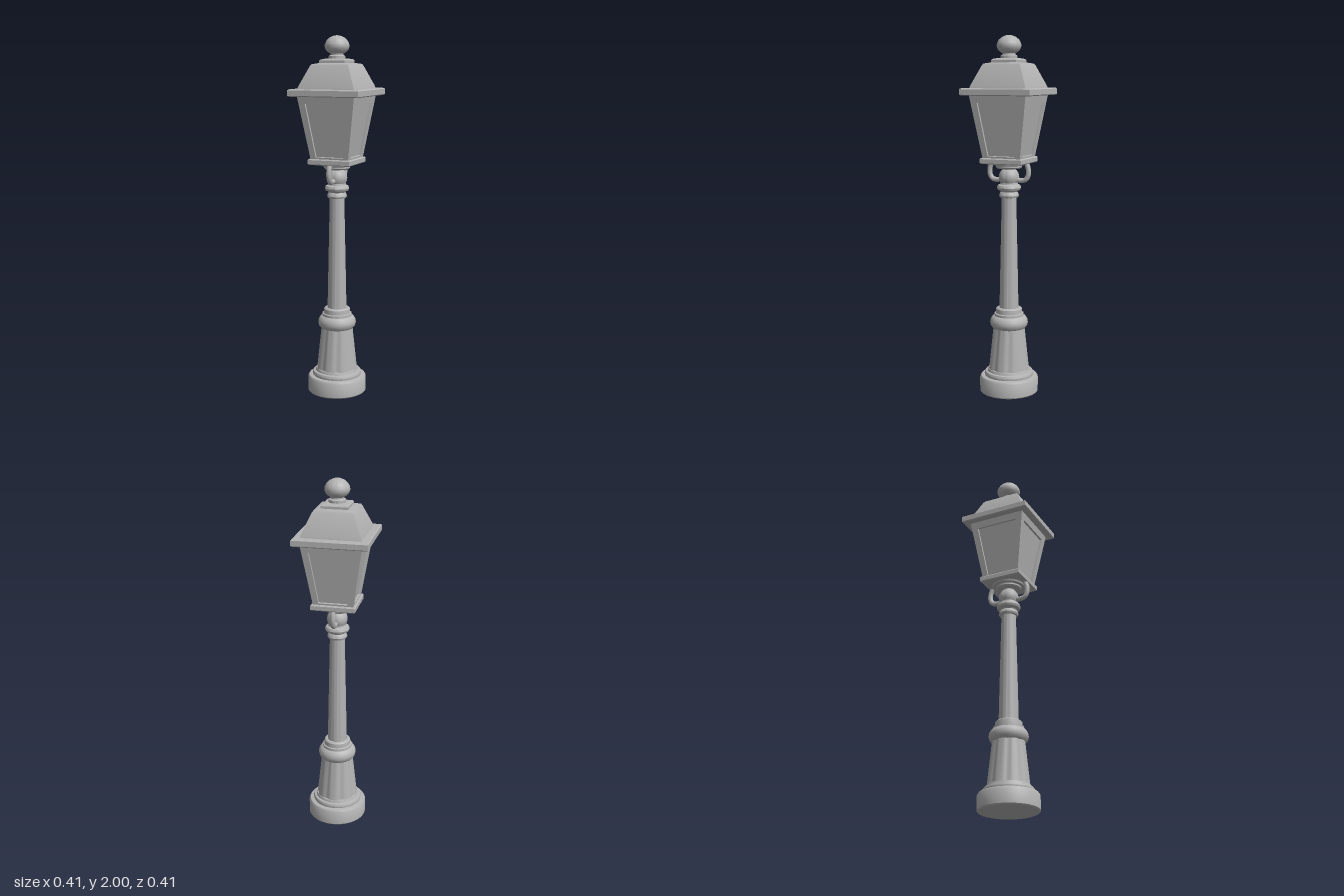
import * as THREE from 'three';
import { toCreasedNormals } from 'three/addons/utils/BufferGeometryUtils.js';

const iron = new THREE.MeshStandardMaterial({ color: 0xb4b4b4 });
iron.name = 'grey iron';

export function createModel() {
  const model = new THREE.Group();
  model.name = 'streetLamp';

  const add = (name, geometry, parent = model) => {
    const mesh = new THREE.Mesh(geometry, iron);
    mesh.name = name;
    parent.add(mesh);
    return mesh;
  };
  const points = (list) => list.map(([r, y]) => new THREE.Vector2(r, y));
  const turned = (list, sides = 40) =>
    toCreasedNormals(new THREE.LatheGeometry(points(list), sides), 0.6);
  // Square section: the profile gives half widths
  const square = (list) =>
    toCreasedNormals(new THREE.LatheGeometry(points(list.map(([w, y]) => [w * Math.SQRT2, y])), 4)
      .rotateY(Math.PI / 4), 0.3);
  // Tapered shaft with eight narrow grooves
  const fluted = (r0, r1, y0, y1, depth) => {
    const g = new THREE.CylinderGeometry(r1, r0, y1 - y0, 64, 1, true).translate(0, (y0 + y1) / 2, 0);
    const p = g.attributes.position;
    for (let i = 0; i < p.count; i++) {
      const a = Math.atan2(p.getX(i), p.getZ(i));
      const k = 1 - depth * Math.pow(Math.abs(Math.cos(a * 4 + Math.PI / 2)), 8);
      p.setXYZ(i, p.getX(i) * k, p.getY(i), p.getZ(i) * k);
    }
    g.computeVertexNormals();
    return toCreasedNormals(g, 0.6);
  };

  // Foot, pedestal and pole
  add('foot', turned([[0, 0], [0.16, 0], [0.165, 0.006], [0.165, 0.083], [0.158, 0.094], [0.137, 0.097],
    [0.139, 0.107], [0.134, 0.119], [0.122, 0.122], [0.118, 0.135], [0.1, 0.138]]));
  add('pedestal', fluted(0.116, 0.089, 0.13, 0.38, 0.06));
  add('pedestalCollar', turned([[0.08, 0.368], [0.092, 0.372], [0.103, 0.385], [0.107, 0.403], [0.104, 0.42],
    [0.094, 0.436], [0.083, 0.442], [0.083, 0.455], [0.075, 0.458], [0.073, 0.482], [0.066, 0.488], [0.04, 0.489]]));
  add('pole', fluted(0.055, 0.041, 0.48, 1.13, 0.04));
  add('poleCapital', turned([[0.035, 1.112], [0.051, 1.115], [0.055, 1.125], [0.051, 1.139], [0.045, 1.146],
    [0.049, 1.152], [0.063, 1.157], [0.068, 1.169], [0.063, 1.182], [0.05, 1.188], [0.048, 1.197],
    [0.055, 1.212], [0.057, 1.228], [0.053, 1.248], [0.043, 1.264], [0.035, 1.27], [0.035, 1.285]]));

  // Curved arms that carry the lantern, front and back
  for (const s of [1, -1]) {
    const path = new THREE.CatmullRomCurve3([[1.215, 0.04], [1.21, 0.075], [1.217, 0.1], [1.24, 0.114], [1.275, 0.115], [1.315, 0.102]]
      .map(([y, z]) => new THREE.Vector3(0, y, z * s)));
    add(s > 0 ? 'frontArm' : 'backArm', new THREE.TubeGeometry(path, 24, 0.014, 10));
  }

  // Lantern floor
  add('lanternBoss', turned([[0, 1.276], [0.066, 1.276], [0.073, 1.283], [0.073, 1.292], [0.09, 1.296], [0.095, 1.312]]));
  add('lanternFloor', square([[0, 1.305], [0.117, 1.305], [0.122, 1.31], [0.122, 1.332], [0.117, 1.338], [0, 1.338]]));

  // Tapered glass body set behind four window frames
  add('glass', square([[0.097, 1.335], [0.153, 1.685]]));
  const rise = 0.345, lean = 0.055;
  const length = Math.hypot(rise, lean);
  const shape = new THREE.Shape(points([[-0.11, 0], [0.11, 0], [0.165, length], [-0.165, length]]));
  shape.holes.push(new THREE.Path(points([[-0.079, 0.012], [-0.121, 0.305], [0.121, 0.305], [0.079, 0.012]])));
  const frame = new THREE.ExtrudeGeometry(shape, { depth: 0.014, bevelEnabled: false })
    .translate(0, 0, -0.014).rotateX(Math.atan2(lean, rise)).translate(0, 1.335, 0.11);
  ['front', 'left', 'back', 'right'].forEach((side, i) => {
    add(side + 'WindowFrame', frame).rotation.y = i * Math.PI / 2;
  });

  // Eaves, hipped roof and its stepped cap
  add('eaves', square([[0, 1.676], [0.198, 1.676], [0.203, 1.681], [0.203, 1.71], [0.198, 1.715], [0, 1.717]]));
  add('roof', square([[0.163, 1.713], [0.16, 1.726], [0.112, 1.835], [0.105, 1.846], [0.07, 1.853], [0, 1.853]]));
  add('roofCap', square([[0.073, 1.848], [0.073, 1.865], [0.068, 1.871], [0.05, 1.875], [0, 1.876]]));

  // Acorn finial
  add('finial', turned([[0.046, 1.87], [0.046, 1.889], [0.036, 1.895], [0.036, 1.902], [0.05, 1.91], [0.062, 1.923],
    [0.068, 1.941], [0.065, 1.957], [0.056, 1.973], [0.041, 1.987], [0.022, 1.996], [0, 2]]));
  return model;
}
